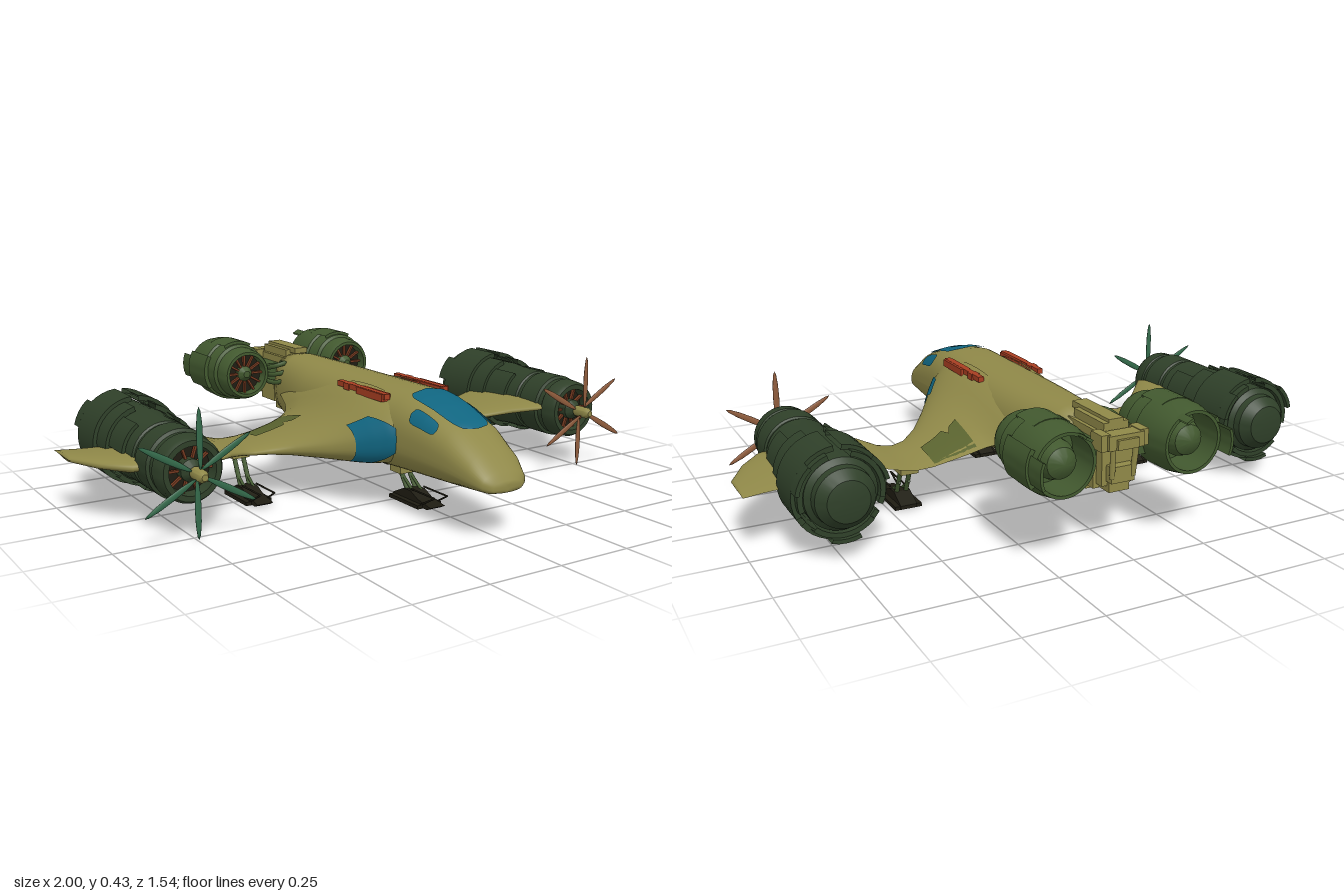
import * as THREE from 'three';
import { toCreasedNormals } from 'three/addons/utils/BufferGeometryUtils.js';

const mat = (name, color, side = THREE.DoubleSide) => {
  const m = new THREE.MeshStandardMaterial({ color, side });
  m.name = name;
  return m;
};
const olive = mat('olive', 0x8f8848), darkGreen = mat('dark green', 0x2f4029), green = mat('mid green', 0x42592f);
const blue = mat('window blue', 0x106580), red = mat('red', 0xa83e22), black = mat('near black', 0x1e1c12);
const brown = mat('brown', 0x8f5c3c), bladeGreen = mat('blade green', 0x33694a);
const rust = mat('rust', 0x763a20), patchGreen = mat('patch green', 0x5a632f);

// Fuselage stations: z, half width, top, bottom
const HULL = [[0.77, 0, 0.18, 0.16], [0.768, 0.055, 0.19, 0.155], [0.75, 0.08, 0.213, 0.15], [0.7, 0.1, 0.26, 0.147],
  [0.6, 0.117, 0.325, 0.14], [0.5, 0.127, 0.36, 0.135], [0.43, 0.134, 0.377, 0.132], [0.36, 0.14, 0.387, 0.129],
  [0.2, 0.145, 0.386, 0.12], [0, 0.148, 0.385, 0.12], [-0.2, 0.138, 0.386, 0.126], [-0.4, 0.108, 0.388, 0.145],
  [-0.48, 0.085, 0.38, 0.16], [-0.481, 0, 0.3, 0.25]];
// Wing stations: x, leading z, trailing z, top, bottom
const WING = [[0.08, 0.43, -0.43, 0.378, 0.135], [0.115, 0.415, -0.38, 0.362, 0.138], [0.15, 0.38, -0.28, 0.335, 0.14],
  [0.18, 0.34, -0.225, 0.31, 0.143], [0.21, 0.295, -0.205, 0.285, 0.146], [0.26, 0.22, -0.195, 0.25, 0.15],
  [0.33, 0.125, -0.19, 0.215, 0.154], [0.39, 0.07, -0.19, 0.193, 0.156], [0.44, 0.052, -0.19, 0.187, 0.158],
  [0.49, 0.06, -0.19, 0.195, 0.165], [0.56, 0.125, -0.195, 0.218, 0.183], [0.63, 0.2, -0.2, 0.235, 0.2],
  [0.72, 0.15, -0.2, 0.23, 0.19], [0.87, 0.1, -0.208, 0.222, 0.175], [0.94, 0.02, -0.22, 0.216, 0.182],
  [0.995, -0.085, -0.235, 0.21, 0.19], [1, -0.09, -0.235, 0.2, 0.2]];

function station(table, k) {
  const dir = Math.sign(table[1][0] - table[0][0]);
  let i = 0;
  while (i < table.length - 2 && (k - table[i + 1][0]) * dir > 0) i++;
  const a = table[i], b = table[i + 1], t = (k - a[0]) / (b[0] - a[0]);
  return a.map((v, j) => v + (b[j] - v) * t);
}
function hullPoint(z, a, off = 0) {
  const [, w, top, bot] = station(HULL, z), mid = bot + (top - bot) * 0.42;
  const pw = v => Math.sign(v) * Math.abs(v) ** 0.8, s = pw(Math.sin(a));
  return [(w + off) * pw(Math.cos(a)), mid + s * ((s > 0 ? top - mid : mid - bot) + off), z];
}
// s runs from the lower trailing edge (-1) round the leading edge (0) to the upper trailing edge (1)
function wingPoint(x, s, off = 0) {
  const [, le, te, top, bot] = station(WING, x), t = s * s;
  const f = Math.max(0, Math.sin(Math.PI * t ** 0.6)) ** 0.7;
  return [x, (top + bot) / 2 + Math.sign(s) * f * ((top - bot) / 2 + off), le + off + (te - le) * t];
}
// Surface mesh over a grid of points; mirrored copies flip x and winding
function surface(name, material, nu, nv, fn, mirror = 1) {
  const pos = [], idx = [];
  for (let i = 0; i <= nu; i++) for (let j = 0; j <= nv; j++) {
    const [x, y, z] = fn(i / nu, j / nv, i);
    pos.push(x * mirror, y, z);
    if (i === nu || j === nv) continue;
    const a = i * (nv + 1) + j, b = a + nv + 1;
    if (mirror > 0) idx.push(a, b, a + 1, b, b + 1, a + 1);
    else idx.push(a, a + 1, b, b, a + 1, b + 1);
  }
  const g = new THREE.BufferGeometry();
  g.setAttribute('position', new THREE.Float32BufferAttribute(pos, 3));
  g.setIndex(idx);
  g.computeVertexNormals();
  return named(name, new THREE.Mesh(g, material));
}
const named = (name, o) => { o.name = name; return o; };
function box(name, material, w, h, d, x, y, z) {
  const m = named(name, new THREE.Mesh(new THREE.BoxGeometry(w, h, d), material));
  m.position.set(x, y, z);
  return m;
}
// Turned part along z; profile [radius, z] runs back to front on the outside
function turned(name, material, profile, start = 0, sweep = Math.PI * 2) {
  const pts = profile.map(p => new THREE.Vector2(...p));
  const g = new THREE.LatheGeometry(pts, Math.max(4, Math.round(sweep * 6)), start, sweep).rotateX(Math.PI / 2);
  return named(name, new THREE.Mesh(toCreasedNormals(g, 0.6), material));
}
const shell = (name, material, r0, r1, z0, z1, start, sweep) =>
  turned(name, material, [[r0, z0], [r1, z0], [r1, z1], [r0, z1], [r0, z0]], start, sweep);
function rod(name, material, a, b, r) {
  const p = new THREE.Vector3(...a), q = new THREE.Vector3(...b), d = q.clone().sub(p);
  const m = named(name, new THREE.Mesh(new THREE.CylinderGeometry(r, r, d.length(), 8), material));
  m.position.copy(p).add(q).multiplyScalar(0.5);
  m.quaternion.setFromUnitVectors(new THREE.Vector3(0, 1, 0), d.normalize());
  return m;
}
function spokes(group, name, material, n, r0, r1, w, z) {
  for (let i = 0; i < n; i++) {
    const a = i / n * Math.PI * 2, m = box(name, material, r1 - r0, w, 0.012, Math.cos(a) * (r0 + r1) / 2, Math.sin(a) * (r0 + r1) / 2, z);
    m.rotation.z = a;
    group.add(m);
  }
}

function makeNacelle(bladeMat) {
  const g = named('wingEngine', new THREE.Group());
  g.add(turned('nacelleBody', darkGreen, [[0, -0.425], [0.04, -0.425], [0.065, -0.42], [0.092, -0.39], [0.095, -0.365], [0.112, -0.35],
    [0.116, -0.12], [0.11, -0.05], [0.11, 0.05], [0.104, 0.055], [0.104, 0.07], [0.11, 0.075], [0.11, 0.16], [0.1, 0.165], [0.1, 0.185],
    [0.104, 0.19], [0.1, 0.235], [0.092, 0.248], [0.075, 0.248], [0.07, 0.2], [0, 0.2]]));
  g.add(turned('intakeHub', darkGreen, [[0.035, 0.2], [0.035, 0.24], [0.015, 0.262], [0, 0.262]]));
  g.add(shell('intakeDisc', black, 0.03, 0.073, 0.2, 0.206));
  spokes(g, 'intakeSpoke', rust, 10, 0.03, 0.075, 0.007, 0.22);
  // Rear cowl in three arcs, with ribs holding it off the body
  for (let i = 0; i < 3; i++) {
    const a = Math.PI / 3 + i * Math.PI * 2 / 3;
    g.add(shell('rearCowl', darkGreen, 0.128, 0.145, -0.335, -0.19, a + 0.08, 1.93));
    g.add(shell('cowlStep', darkGreen, 0.117, 0.133, -0.36, -0.11, a + 0.25, 1.55));
    g.add(shell('cowlTongue', darkGreen, 0.112, 0.123, -0.11, 0.0, a + 0.6, 0.85));
    g.add(shell('rearProng', darkGreen, 0.132, 0.145, -0.375, -0.33, a + 0.7, 0.65));
  }
  spokes(g, 'cowlRib', darkGreen, 6, 0.1, 0.135, 0.012, -0.25);
  // Two rows of three blades turning opposite ways
  g.add(turned('propellerHub', olive, [[0, 0.25], [0.014, 0.25], [0.014, 0.262], [0.019, 0.265], [0.019, 0.315], [0.01, 0.332], [0, 0.334]]));
  for (let i = 0; i < 6; i++) {
    const a = Math.PI / 2 + i * Math.PI / 3;
    const b = named('propellerBlade', new THREE.Mesh(new THREE.SphereGeometry(1, 10, 6), bladeMat));
    b.scale.set(0.094, 0.0105, 0.004);
    b.position.set(Math.cos(a) * 0.108, Math.sin(a) * 0.108, i % 2 ? 0.275 : 0.302);
    b.rotation.z = a;
    g.add(b);
  }
  return g;
}

function makeRearEngine(side) {
  const g = named('rearEngine', new THREE.Group());
  g.add(turned('engineShell', green, [[0.09, -0.6], [0.088, -0.72], [0.098, -0.72], [0.11, -0.66], [0.112, -0.6], [0.112, -0.575], [0.104, -0.57],
    [0.102, -0.51], [0.093, -0.5], [0.09, -0.455], [0.083, -0.44], [0.072, -0.44], [0.07, -0.49]]));
  g.add(turned('engineCore', green, [[0, -0.715], [0.025, -0.71], [0.047, -0.695], [0.06, -0.66], [0.062, -0.6], [0.092, -0.6]]));
  g.add(turned('fanDisc', black, [[0.08, -0.5], [0.072, -0.48], [0, -0.48]]));
  g.add(turned('fanHub', green, [[0.028, -0.48], [0.028, -0.465], [0.012, -0.447], [0, -0.446]]));
  spokes(g, 'fanSpoke', rust, 12, 0.024, 0.074, 0.007, -0.47);
  // Armour plates and rear prongs
  g.add(shell('topPlate', green, 0.1, 0.113, -0.63, -0.52, Math.PI - 0.5, 1));
  g.add(shell('outerPlate', green, 0.1, 0.117, -0.7, -0.56, side * Math.PI / 2 - 0.55, 1.1));
  g.add(shell('outerProng', green, 0.1, 0.109, -0.77, -0.7, side * Math.PI / 2 - 0.4, 0.8));
  g.add(shell('innerProng', green, 0.092, 0.1, -0.765, -0.71, Math.PI + side * 0.5 - 0.13, 0.26));
  return g;
}

function makeGear(x, z, top) {
  const g = named('landingGear', new THREE.Group());
  const s = new THREE.Shape([[-0.11, 0.01], [0.08, 0.01], [0.1, 0.02], [0.03, 0.032], [-0.01, 0.05], [-0.05, 0.05], [-0.11, 0.022]].map(p => new THREE.Vector2(...p)));
  const foot = named('foot', new THREE.Mesh(new THREE.ExtrudeGeometry(s, { depth: 0.056, bevelEnabled: false }).translate(0, 0, -0.028).rotateY(-Math.PI / 2), black));
  g.add(foot, box('sole', black, 0.092, 0.012, 0.16, 0, 0.014, -0.025));
  for (const e of [-1, 1]) {
    g.add(rod('footFrame', black, [e * 0.025, 0.056, 0.115], [e * 0.03, 0.02, 0.05], 0.003));
    g.add(rod('footFrame', black, [e * 0.025, 0.056, 0.115], [e * 0.025, 0.056, -0.01], 0.003));
    g.add(rod('strut', green, [e * 0.016, 0.04, -0.04], [e * 0.016, top, -0.095], 0.008));
    g.add(rod('brace', green, [e * 0.016, 0.045, -0.01], [e * 0.016, 0.09, -0.075], 0.005));
  }
  g.add(box('strutMount', olive, 0.06, 0.045, 0.06, 0, top, -0.095));
  g.position.set(x, 0, z);
  return g;
}

export function createModel() {
  const model = named('aircraft', new THREE.Group());
  // Fuselage and windscreen
  model.add(surface('fuselage', olive, HULL.length - 1, 48, (u, v, i) => hullPoint(HULL[i][0], v * Math.PI * 2)));
  const window = (name, z0, z1, a0, a1, mirror) => surface(name, blue, 24, 12, (u, v) => {
    const k = (1 - Math.abs(2 * u - 1) ** 6) ** 0.4 * (1 - 0.12 * u);
    return hullPoint(z0 + (z1 - z0) * u, (a0 + a1) / 2 + (v - 0.5) * (a1 - a0) * k, 0.005);
  }, mirror);
  const deg = Math.PI / 180;
  model.add(window('windscreen', 0.365, 0.625, 62 * deg, 118 * deg, 1));
  // Belly grille and nose gear bay
  model.add(surface('bellyGrille', rust, 4, 6, (u, v) => hullPoint(-0.2 - 0.23 * u, (240 + 60 * v) * deg, 0.004)));
  for (let i = 0; i < 10; i++) {
    const z = -0.21 - i * 0.0235;
    model.add(box('grilleSlat', rust, 0.1, 0.008, 0.009, 0, hullPoint(z, -Math.PI / 2)[1] - 0.004, z));
  }
  model.add(box('noseGearBay', black, 0.09, 0.008, 0.16, 0, 0.119, 0.14));

  for (const s of [1, -1]) {
    model.add(surface('wing', olive, WING.length - 1, 48, (u, v, i) => wingPoint(WING[i][0], v * 2 - 1), s));
    model.add(window('sideWindow', 0.44, 0.56, 27 * deg, 53 * deg, s));
    model.add(surface('wingRootWindow', blue, 14, 12, (u, v) => {
      const x = 0.125 + 0.09 * u;
      return wingPoint(x, (v - 0.45) * 0.62 * Math.min(1, 0.2 + 1.6 * u), 0.006);
    }, s));
    // Green panel at the trailing edge
    model.add(surface('wingPanel', patchGreen, 10, 10, (u, v) => {
      const x = 0.235 + 0.145 * u, front = u < 0.3 ? 0.78 : 0.83 - 0.03 * u - (u > 0.35 ? 0.06 : 0);
      return wingPoint(x, front + (1 - front) * v, 0.005);
    }, s));
    // Red rails on the shoulders
    const rail = named('shoulderRail', new THREE.Group());
    rail.add(box('railBar', red, 0.02, 0.018, 0.28, 0, 0, 0), box('railHousing', red, 0.034, 0.024, 0.15, 0.002, -0.004, 0.055),
      box('railEnd', red, 0.03, 0.022, 0.03, 0, -0.002, -0.08));
    rail.position.set(s * 0.113, 0.366, 0.175);
    model.add(rail);

    const nacelle = makeNacelle(s > 0 ? brown : bladeGreen);
    nacelle.position.set(s * 0.745, 0.208, 0);
    const engine = makeRearEngine(s);
    engine.position.set(s * 0.215, 0.325, 0);
    model.add(nacelle, engine, makeGear(s * 0.44, 0.01, 0.155));

    // Rear engine mount and hoses
    model.add(box('engineArm', green, 0.08, 0.07, 0.12, s * 0.085, 0.31, -0.56));
    for (let i = 0; i < 3; i++) {
      const c = new THREE.CatmullRomCurve3([[0.06, 0.35 - i * 0.03, -0.47], [0.085, 0.36 - i * 0.03, -0.405 + i * 0.012], [0.115, 0.35 - i * 0.03, -0.42],
        [0.12, 0.33 - i * 0.02, -0.51]].map(p => new THREE.Vector3(p[0] * s, p[1], p[2])));
      model.add(named('hose', new THREE.Mesh(new THREE.TubeGeometry(c, 16, 0.009, 8), green)));
    }
    model.add(box('tailSideBlock', olive, 0.03, 0.05, 0.06, s * 0.065, 0.355, -0.655));
    model.add(box('tailLowerBlock', olive, 0.02, 0.07, 0.1, s * 0.055, 0.23, -0.57));
  }
  model.add(makeGear(0, 0.335, 0.115));

  // Tail spine between the rear engines
  model.add(box('tailSpine', olive, 0.11, 0.16, 0.2, 0, 0.29, -0.55), box('tailKeel', olive, 0.09, 0.06, 0.09, 0, 0.195, -0.5),
    box('tailKeelRear', olive, 0.07, 0.04, 0.12, 0, 0.21, -0.6), box('tailCap', olive, 0.085, 0.03, 0.17, 0, 0.382, -0.55),
    box('tailRidge', olive, 0.05, 0.02, 0.21, 0, 0.397, -0.53), box('tailEnd', olive, 0.12, 0.045, 0.05, 0, 0.355, -0.67),
    box('tailEndLower', olive, 0.08, 0.05, 0.04, 0, 0.25, -0.66), box('tailStep', olive, 0.07, 0.03, 0.03, 0, 0.35, -0.69));
  for (const s of [-1, 1]) model.add(rod('tailFrame', olive, [s * 0.04, 0.35, -0.685], [s * 0.035, 0.24, -0.675], 0.009));
  return model;
}
